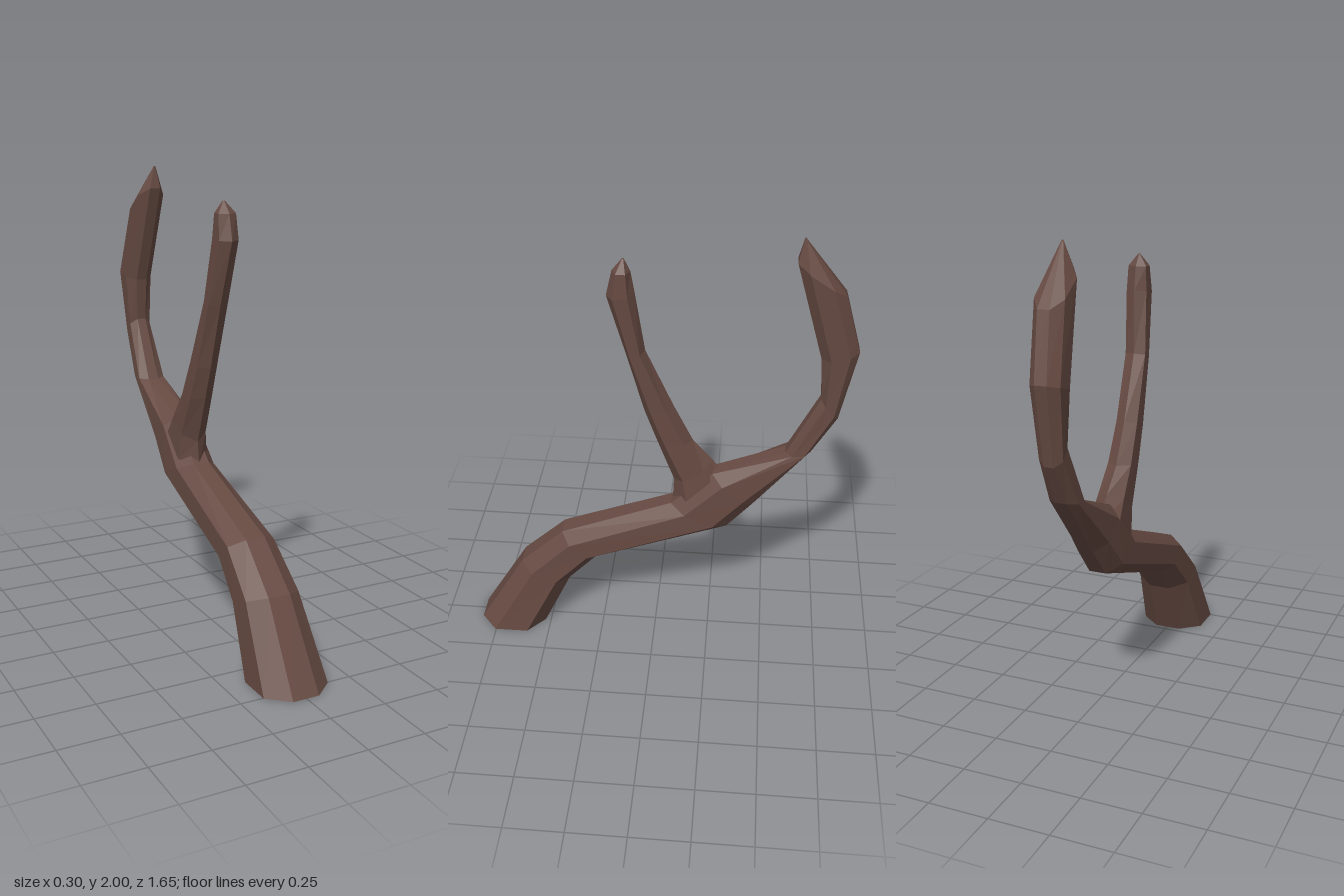
import * as THREE from 'three';

// Cross-section templates as [along the front-back axis, along x]
const OCT = [[1, -0.4], [1, 0.4], [0.5, 1], [-0.5, 1], [-1, 0.4], [-1, -0.4], [-0.5, -1], [0.5, -1]];
const HEX = [[1, 0], [0.5, 1], [-0.55, 1], [-1, 0], [-0.55, -1], [0.5, -1]];

// Rings: [front z, front y, back z, back y, min x, max x]
const TRUNK = [
  [0.83, 0, 0.525, 0, -0.15, 0.145],
  [0.62, 0.35, 0.4, 0.265, -0.13, 0.115],
  [0.425, 0.53, 0.27, 0.4, -0.12, 0.1],
  [-0.07, 0.72, -0.32, 0.61, -0.105, 0.08],
  [-0.25, 0.89, -0.43, 0.74, -0.095, 0.075],
  [-0.56, 1.01, -0.665, 1.02, -0.085, 0.04],
  [-0.69, 1.28, -0.765, 1.19, -0.075, 0.025],
  [-0.675, 1.47, -0.825, 1.51, -0.09, 0.035],
  [-0.55, 1.9, -0.75, 1.77, -0.07, 0.055],
  [-0.57, 2, -0.58, 1.99, -0.005, 0.005],
];
const FORK = [
  [-0.075, 0.7, -0.34, 0.82, -0.09, 0.05],
  [-0.08, 0.82, -0.25, 0.93, -0.085, 0.035],
  [0, 1.03, -0.16, 1.03, -0.08, 0.025],
  [0.05, 1.17, -0.075, 1.2, -0.075, 0.02],
  [0.126, 1.45, 0.045, 1.47, -0.065, 0.025],
  [0.2, 1.72, 0.083, 1.73, -0.05, 0.04],
  [0.175, 1.83, 0.1, 1.83, -0.045, 0.035],
  [0.135, 1.88, 0.125, 1.88, -0.012, -0.004],
];

// Skin a list of rings and close both ends
function loft(rings, template) {
  const n = template.length;
  const positions = [];
  const index = [];
  for (const [fz, fy, bz, by, x0, x1] of rings) {
    for (const [u, v] of template) {
      positions.push(
        (x0 + x1) / 2 + v * (x1 - x0) / 2,
        (fy + by) / 2 + u * (fy - by) / 2,
        (fz + bz) / 2 + u * (fz - bz) / 2,
      );
    }
  }
  for (let r = 0; r < rings.length - 1; r++) {
    for (let i = 0; i < n; i++) {
      const a = r * n + i;
      const b = r * n + (i + 1) % n;
      index.push(a, b, b + n, a, b + n, a + n);
    }
  }
  const last = (rings.length - 1) * n;
  for (let i = 1; i < n - 1; i++) {
    index.push(0, i + 1, i, last, last + i, last + i + 1);
  }
  const geometry = new THREE.BufferGeometry();
  geometry.setAttribute('position', new THREE.Float32BufferAttribute(positions, 3));
  geometry.setIndex(index);
  // Separate the faces so every facet is flat
  const faceted = geometry.toNonIndexed();
  faceted.computeVertexNormals();
  return faceted;
}

export function createModel() {
  const group = new THREE.Group();
  group.name = 'branch';
  const bark = new THREE.MeshStandardMaterial({ color: 0x664a42 });
  bark.name = 'brown bark';
  bark.flatShading = true;

  // Curving main limb, then the smaller fork growing out of it
  for (const [name, rings, template] of [['mainLimb', TRUNK, OCT], ['forkLimb', FORK, HEX]]) {
    const mesh = new THREE.Mesh(loft(rings, template), bark);
    mesh.name = name;
    group.add(mesh);
  }
  return group;
}
